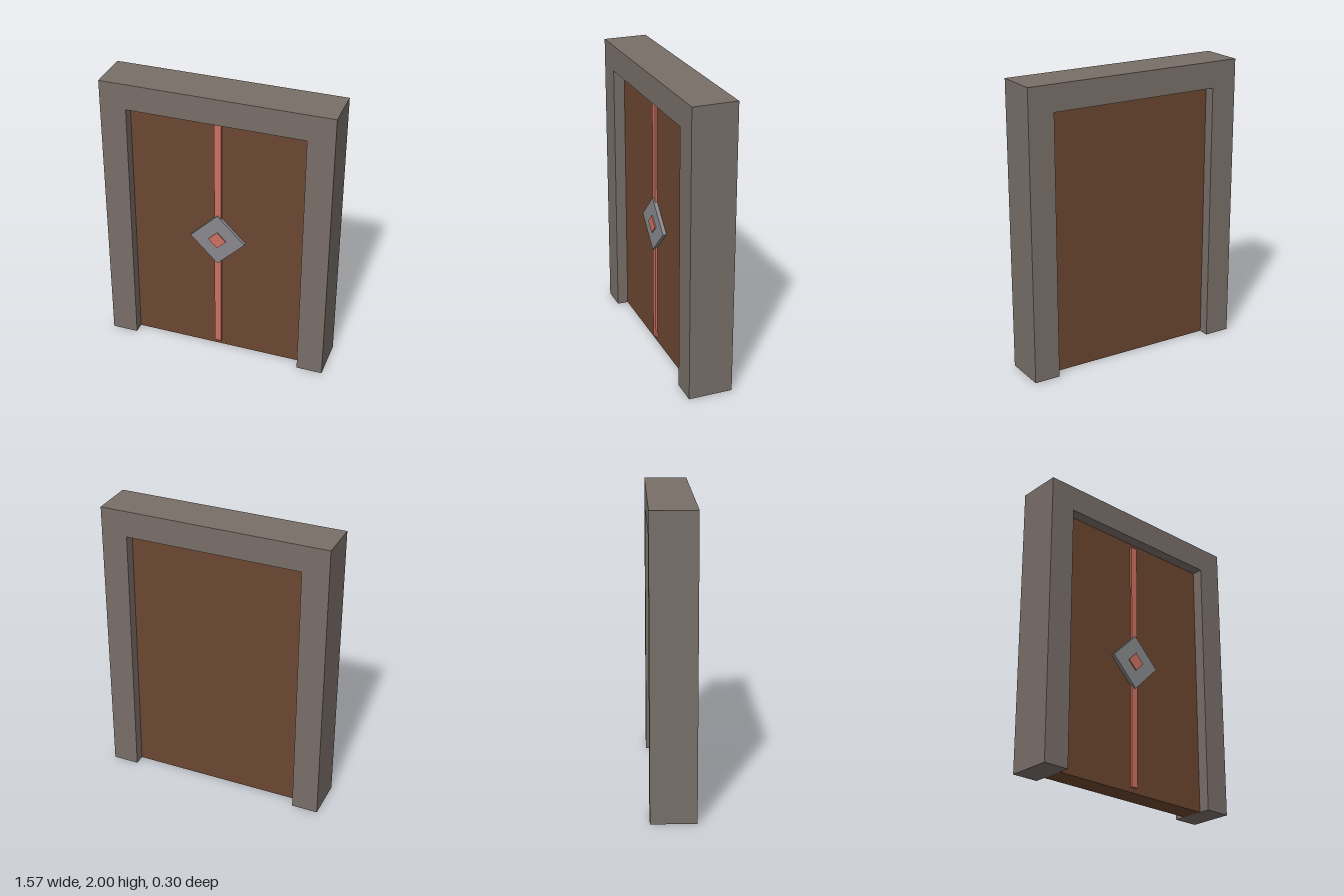
import * as THREE from 'three';

const material = (name, color) => {
  const m = new THREE.MeshStandardMaterial({ color });
  m.name = name;
  return m;
};

export function createModel() {
  const stone = material('stone', 0x786e68);
  const wood = material('wood', 0x6b4630);
  const copper = material('copper', 0xcc7060);
  const steel = material('steel', 0x88898d);

  const model = new THREE.Group();
  model.name = 'doorway';
  const add = (name, geometry, mat, x, y, z) => {
    const mesh = new THREE.Mesh(geometry, mat);
    mesh.name = name;
    mesh.position.set(x, y, z);
    model.add(mesh);
    return mesh;
  };

  // Frame: one U-shaped profile, open at the floor
  const W = 0.787, w = 0.606, H = 2, h = 1.82, depth = 0.303;
  const profile = new THREE.Shape(
    [[-W, 0], [-w, 0], [-w, h], [w, h], [w, 0], [W, 0], [W, H], [-W, H]]
      .map(([x, y]) => new THREE.Vector2(x, y)));
  add('frame', new THREE.ExtrudeGeometry(profile, { depth, bevelEnabled: false }), stone, 0, 0, -depth / 2);

  // Door panel, recessed on both sides
  const face = 0.075;
  add('doorPanel', new THREE.BoxGeometry(2 * w, h, 2 * face), wood, 0, h / 2, 0);

  // Raised centre strip on the front
  add('centreStrip', new THREE.BoxGeometry(0.048, 1.755, 0.015), copper, 0, 0.912, face + 0.0075);

  // Diamond lock plate and its inset
  const diamond = (name, halfDiagonal, front, mat) => {
    const side = halfDiagonal * Math.SQRT2, d = front - face;
    add(name, new THREE.BoxGeometry(side, side, d), mat, 0, 0.91, face + d / 2).rotation.z = Math.PI / 4;
  };
  diamond('lockPlate', 0.192, 0.1, steel);
  diamond('lockCore', 0.063, 0.108, copper);

  return model;
}
